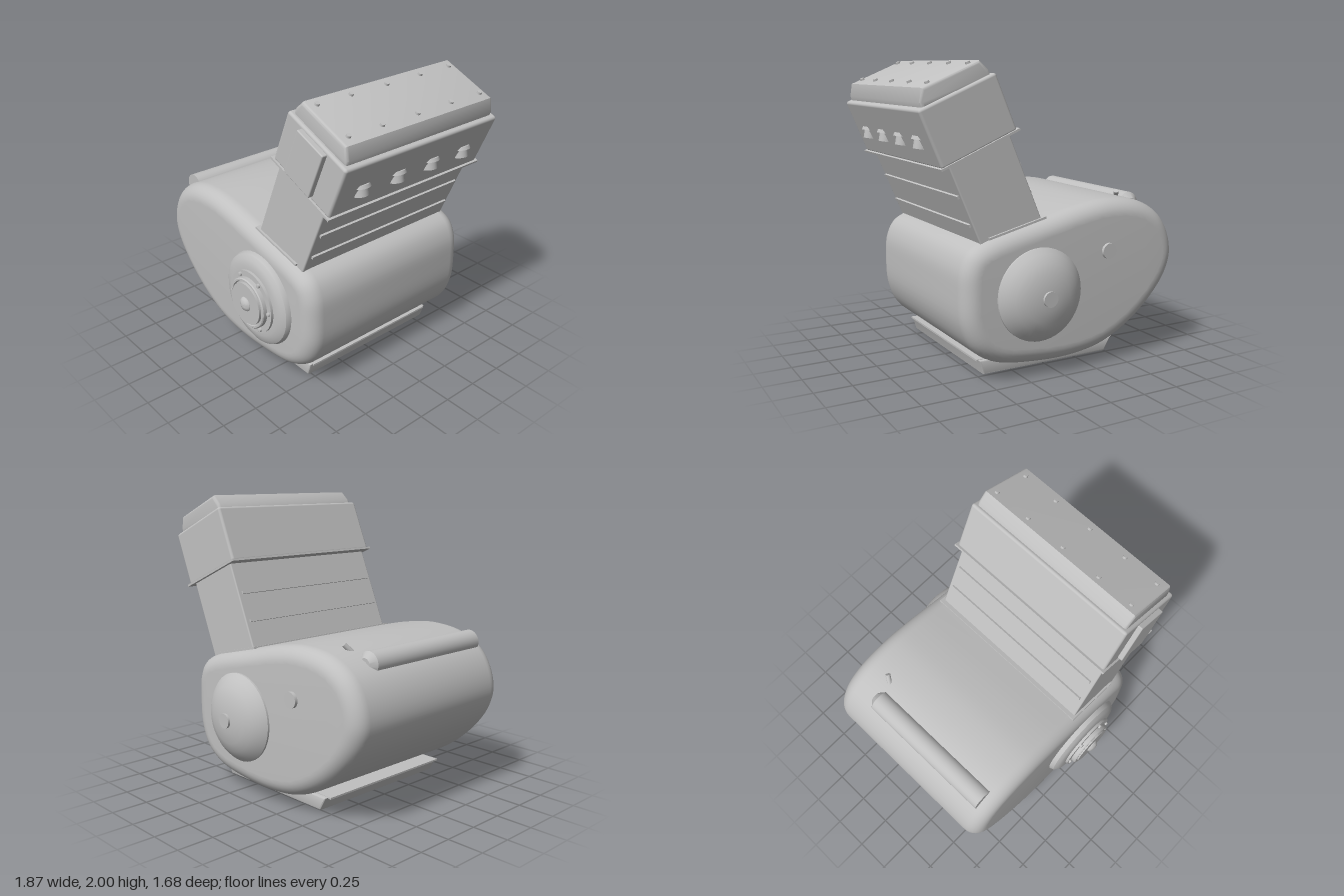
import * as THREE from 'three';
import { toCreasedNormals } from 'three/addons/utils/BufferGeometryUtils.js';
import { RoundedBoxGeometry } from 'three/addons/geometries/RoundedBoxGeometry.js';

const metal = new THREE.MeshStandardMaterial({ color: 0xc0c0c0 });
metal.name = 'grey metal';

const v2 = (pts) => pts.map(([x, y]) => new THREE.Vector2(x, y));

function add(parent, name, geometry, x = 0, y = 0, z = 0) {
  const mesh = new THREE.Mesh(geometry, metal);
  mesh.name = name;
  mesh.position.set(x, y, z);
  parent.add(mesh);
  return mesh;
}

// Extrude an outline along z between z0 and z1 with rounded edges that stay inside it
function slab(shape, z0, z1, bevel, segments, crease) {
  const g = new THREE.ExtrudeGeometry(shape, {
    depth: z1 - z0 - 2 * bevel, bevelEnabled: true, bevelSize: bevel, bevelThickness: bevel,
    bevelOffset: -bevel, bevelSegments: segments, curveSegments: 12, steps: 1,
  });
  g.translate(0, 0, z0 + bevel);
  return toCreasedNormals(g, crease);
}

// Turned part whose axis points along z; profile is [radius, distance]
function turned(profile, segments = 48) {
  const g = new THREE.LatheGeometry(v2(profile), segments);
  g.rotateX(Math.PI / 2);
  return toCreasedNormals(g, 0.5);
}

export function createModel() {
  const model = new THREE.Group();
  model.name = 'engine';

  // Crankcase: egg-shaped outline with generously rounded rims
  const outline = [
    [-0.93, 0.7], [-0.895, 0.57], [-0.8, 0.43], [-0.6, 0.25], [-0.36, 0.125], [-0.12, 0.08],
    [0.18, 0.085], [0.45, 0.13], [0.6, 0.23], [0.675, 0.39], [0.688, 0.6], [0.675, 0.75],
    [0.62, 0.855], [0.5, 0.92], [0.1, 1.02], [-0.18, 1.085], [-0.4, 1.11], [-0.64, 1.08],
    [-0.81, 0.985], [-0.9, 0.85],
  ].map(([x, y]) => new THREE.Vector3(x, y, 0));
  const curve = new THREE.CatmullRomCurve3(outline, true);
  const body = new THREE.Shape(curve.getPoints(90).slice(0, -1).map((p) => new THREE.Vector2(p.x, p.y)));
  add(model, 'crankcase', slab(body, -0.705, 0.69, 0.11, 8, 0.7));

  // Front pulley with stepped rings and a domed nut
  const hub = new THREE.Group();
  hub.name = 'frontPulley';
  hub.position.set(0.165, 0.55, 0);
  model.add(hub);
  add(hub, 'pulleyWheel', turned([
    [0, 0.768], [0.22, 0.768], [0.22, 0.75], [0.25, 0.749], [0.29, 0.74], [0.318, 0.722], [0.33, 0.695], [0.33, 0.66],
  ].reverse()));
  add(hub, 'pulleyCap', turned([
    [0.178, 0.76], [0.178, 0.795], [0.172, 0.802], [0.16, 0.802], [0.155, 0.79], [0.148, 0.79], [0.148, 0.81], [0, 0.81],
  ]));
  add(hub, 'pulleyNut', turned([[0.052, 0.8], [0.05, 0.815], [0.038, 0.828], [0.02, 0.836], [0, 0.838]], 24));
  for (let i = 0; i < 6; i++) {
    const a = (i * Math.PI) / 3;
    add(hub, 'pulleyScrew', turned([[0.014, 0.76], [0.014, 0.782], [0, 0.786]], 12),
      0.197 * Math.cos(a), 0.197 * Math.sin(a), 0);
  }

  // Domed rear cover and its pin, plus a small plug beside it
  const rear = new THREE.Group();
  rear.name = 'rearCover';
  rear.rotation.y = Math.PI;
  model.add(rear);
  add(rear, 'rearDome', turned([
    [0.302, 0.69], [0.302, 0.718], [0.27, 0.752], [0.22, 0.788], [0.16, 0.813], [0.08, 0.828], [0, 0.83],
  ]), -0.165, 0.55, 0);
  add(rear, 'rearPin', turned([[0.05, 0.8], [0.05, 0.845], [0, 0.845]], 24), -0.165, 0.55, 0);
  add(rear, 'rearPlug', turned([[0.053, 0.69], [0.053, 0.726], [0, 0.726]], 24), 0.36, 0.775, 0);

  // Tube lying along the top edge, with a tapered end
  add(model, 'topTube', turned([
    [0, -0.585], [0.078, -0.585], [0.078, 0.41], [0.04, 0.448], [0, 0.448],
  ], 32), -0.735, 1.02, 0).rotation.y = Math.PI;
  const nipple = add(model, 'breatherNipple', new THREE.CylinderGeometry(0.017, 0.017, 0.1, 16), -0.603, 1.09, -0.445);
  nipple.quaternion.setFromUnitVectors(new THREE.Vector3(0, 1, 0), new THREE.Vector3(0.035, 0.06, -0.05).normalize());

  // Oil pan with flared ends, lip and drain plug
  const pan = new THREE.Shape(v2([[-0.45, 0.03], [0.485, 0.03], [0.515, 0.125], [-0.505, 0.125]]));
  add(model, 'oilPan', slab(pan, -0.555, 0.55, 0.012, 2, 0.5));
  add(model, 'oilPanLip', new THREE.BoxGeometry(1.05, 0.012, 1.06), 0, 0.122, 0);
  add(model, 'drainPlug', new THREE.CylinderGeometry(0.028, 0.028, 0.04, 20), 0, 0.02, 0);

  // Leaning cylinder bank, built upright and tilted as a group
  const bank = new THREE.Group();
  bank.name = 'cylinderBank';
  bank.rotation.z = THREE.MathUtils.degToRad(-23);
  model.add(bank);
  add(bank, 'cylinderBlock', new RoundedBoxGeometry(0.447, 0.85, 1.26, 2, 0.01), -0.074, 1.2, 0);
  for (const u of [1.165, 1.36]) {
    add(bank, 'blockRib', new THREE.BoxGeometry(0.475, 0.02, 1.2), -0.074, u, 0);
  }
  add(bank, 'headFlange', new THREE.BoxGeometry(0.575, 0.014, 1.31), -0.077, 1.573, 0);
  add(bank, 'cylinderHead', new RoundedBoxGeometry(0.548, 0.38, 1.285, 3, 0.018), -0.077, 1.76, 0);
  add(bank, 'headSidePlate', new RoundedBoxGeometry(0.242, 0.33, 0.06, 2, 0.008), -0.088, 1.766, 0.647);

  // Valve cover with sloping sides and ten screws
  const cover = new THREE.Shape(v2([[-0.325, 1.93], [0.162, 1.93], [0.16, 1.98], [0.115, 2.053], [-0.29, 2.053], [-0.325, 1.98]]));
  add(bank, 'valveCover', slab(cover, -0.618, 0.618, 0.02, 4, 0.6));
  for (const v of [-0.237, 0.05]) {
    for (const z of [-0.56, -0.295, -0.005, 0.285, 0.545]) {
      add(bank, 'coverScrew', new THREE.CylinderGeometry(0.015, 0.018, 0.03, 12), v, 2.052, z);
    }
  }

  // Thin gasket plate where the bank meets the crankcase
  const gasket = add(model, 'blockGasket', new THREE.BoxGeometry(0.42, 0.014, 1.29), 0.285, 0.976, 0);
  gasket.rotation.z = -0.24;

  // Row of capped plugs on the outer side of the head
  for (const z of [-0.432, -0.145, 0.145, 0.435]) {
    const plug = new THREE.Group();
    plug.name = 'sparkPlug';
    plug.position.set(0.832, 1.51, z);
    plug.rotation.z = 0.15;
    add(plug, 'plugCap', new THREE.CylinderGeometry(0.064, 0.07, 0.022, 24), 0, 0.03, 0);
    add(plug, 'plugStem', new THREE.CylinderGeometry(0.05, 0.052, 0.06, 24), 0, -0.005, 0);
    model.add(plug);
  }
  return model;
}
